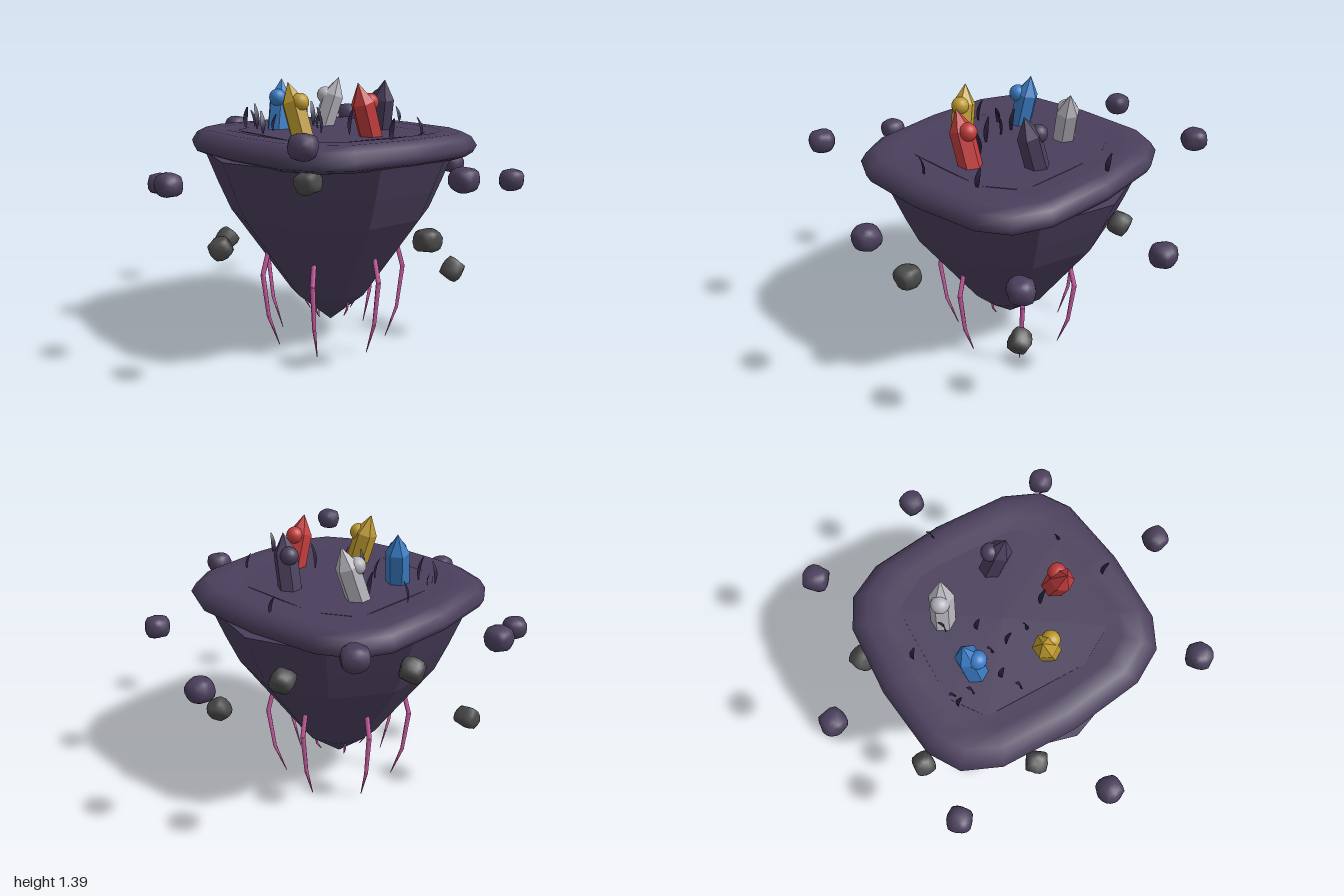
import * as THREE from 'three';
import { mergeVertices, mergeGeometries } from 'three/addons/utils/BufferGeometryUtils.js';

const mat = (name, color, extra = {}) => {
  const m = new THREE.MeshStandardMaterial({ color, ...extra });
  m.name = name;
  return m;
};
const V = (x, y, z) => new THREE.Vector3(x, y, z);

// one normal per face
function flat(geo) {
  const g = geo.index ? geo.toNonIndexed() : geo;
  g.computeVertexNormals();
  return g;
}

// tapered cylinder between two points
function limb(a, b, ra, rb, sides) {
  const dir = b.clone().sub(a);
  const g = new THREE.CylinderGeometry(rb, ra, dir.length(), sides);
  g.applyQuaternion(new THREE.Quaternion().setFromUnitVectors(V(0, 1, 0), dir.normalize()));
  const mid = a.clone().add(b).multiplyScalar(0.5);
  return g.translate(mid.x, mid.y, mid.z);
}

// smooth skin through scaled copies of one outline, bottom to top
function loft(outline, section) {
  const n = outline.length, pos = [], idx = [];
  section.forEach(([s, y]) => outline.forEach(([x, z]) => pos.push(x * s, y, z * s)));
  for (let i = 0; i < section.length - 1; i++)
    for (let j = 0; j < n; j++) {
      const a = i * n + j, b = i * n + (j + 1) % n;
      idx.push(a, a + n, b, b, a + n, b + n);
    }
  const g = new THREE.BufferGeometry();
  g.setAttribute('position', new THREE.Float32BufferAttribute(pos, 3));
  g.setIndex(idx);
  g.computeVertexNormals();
  return g;
}

// lumpy stone: a ball pushed towards a cube, then rippled
function stone(size, blocky, seed) {
  let g = new THREE.IcosahedronGeometry(1, 2);
  g.deleteAttribute('normal');
  g.deleteAttribute('uv');
  g = mergeVertices(g, 1e-4);
  const p = g.attributes.position, v = V(0, 0, 0);
  for (let i = 0; i < p.count; i++) {
    v.fromBufferAttribute(p, i);
    const cube = 1 / Math.max(Math.abs(v.x), Math.abs(v.y), Math.abs(v.z));
    const ripple = 1 + 0.06 * Math.sin(v.x * 4 + seed) * Math.cos(v.y * 3 + v.z * 4 + seed * 2);
    v.multiplyScalar(size * ripple * (1 + blocky * (Math.min(cube, 1.45) - 1)));
    p.setXYZ(i, v.x, v.y * 0.9, v.z);
  }
  g.computeVertexNormals();
  return g;
}

// thin curved leaf bending along x, wide along z
function blade(h, bend) {
  const pos = [], idx = [], steps = 5;
  for (let i = 0; i <= steps; i++) {
    const t = i / steps, w = 0.004 + 0.012 * Math.sin(Math.PI * t) * (1 - t * 0.3);
    const x = bend * (t * t - t * 0.5);
    pos.push(x, t * h, -w, x + 0.004 * (1 - t), t * h, w);
    if (i < steps) { const a = i * 2; idx.push(a, a + 1, a + 2, a + 1, a + 3, a + 2); }
  }
  const g = new THREE.BufferGeometry();
  g.setAttribute('position', new THREE.Float32BufferAttribute(pos, 3));
  g.setIndex(idx);
  g.computeVertexNormals();
  return g;
}

export function createModel() {
  const model = new THREE.Group();
  model.name = 'floatingIsland';
  const purple = mat('dusky purple', 0x4a3f5c);
  const grey = mat('stone grey', 0x4a4a4a);
  const pink = mat('root pink', 0xd060a8);
  const grass = mat('dark blade', 0x2c2440, { side: THREE.DoubleSide });
  const blue = mat('crystal blue', 0x3a7cc4);
  const yellow = mat('crystal yellow', 0xbd992e);
  const red = mat('crystal red', 0xc23c3c);
  const pale = mat('crystal pale', 0xb4b2ba);
  const add = (name, geo, material, parent = model) => {
    const m = new THREE.Mesh(geo, material);
    m.name = name;
    parent.add(m);
    return m;
  };
  const group = (name) => {
    const g = new THREE.Group();
    g.name = name;
    model.add(g);
    return g;
  };

  // ten-sided rocky underside
  const profile = [[0, 0.1], [0.21, 0.275], [0.525, 0.72], [0.59, 0.87], [0.65, 1.025], [0, 1.03]];
  add('rockCone', flat(new THREE.LatheGeometry(profile.map(([r, y]) => new THREE.Vector2(r, y)), 10)), purple);

  // rounded-square rim with a shallow dish
  const quarter = [[0.665, 0], [0.635, 0.36], [0.55, 0.51], [0.375, 0.597]];
  const outline = [
    ...quarter, [0, 0.625], ...quarter.slice(1).reverse().map(([x, z]) => [-x, z]),
    ...quarter.map(([x, z]) => [-x, -z]), [0, -0.625],
    ...quarter.slice(1).reverse().map(([x, z]) => [x, -z]),
  ];
  add('plateauRim', loft(outline, [[0, 1.02], [0.9, 1.015], [0.975, 1.035], [1, 1.07], [0.96, 1.115],
    [0.89, 1.14], [0.76, 1.142], [0.6, 1.122], [0, 1.115]]), purple);

  // eight-cornered floor
  const floor = [[-0.2, -0.41], [0.32, -0.38], [0.43, -0.2], [0.4, 0.3], [0.2, 0.4], [-0.32, 0.37], [-0.43, 0.2], [-0.4, -0.31]];
  add('plateauFloor', flat(loft(floor, [[1, 1.1], [1, 1.13], [0, 1.13]])), purple);

  // leaning six-sided crystals, each with a small orb: base, tip, orb
  const crystals = [
    ['blue', blue, V(-0.25, 1.11, 0.16), V(-0.28, 1.39, 0.11), V(-0.24, 1.295, 0.165)],
    ['yellow', yellow, V(0.1, 1.11, 0.25), V(0.025, 1.39, 0.285), V(0.09, 1.295, 0.26)],
    ['red', red, V(0.3, 1.11, -0.02), V(0.3, 1.39, 0.07), V(0.3, 1.295, -0.005)],
    ['pale', pale, V(-0.25, 1.11, -0.14), V(-0.2, 1.39, -0.215), V(-0.245, 1.295, -0.155)],
    ['purple', purple, V(0.09, 1.11, -0.26), V(0.16, 1.39, -0.23), V(0.09, 1.295, -0.26)],
  ];
  for (const [name, m, base, tip, orb] of crystals) {
    const g = group(name + 'Crystal');
    const neck = base.clone().lerp(tip, 0.66);
    add('crystalShaft', flat(limb(base, neck, 0.06, 0.06, 6)), m, g);
    add('crystalPoint', flat(limb(neck, tip, 0.06, 0.0005, 6)), m, g);
    add('crystalOrb', new THREE.SphereGeometry(0.045, 16, 12), m, g).position.copy(orb);
  }

  // sparse curved blades
  const blades = group('grassBlades');
  [[-0.07, -0.55], [-0.47, -0.05], [-0.27, -0.09], [-0.14, -0.02], [-0.14, 0.12], [-0.06, 0.12],
    [-0.4, 0.21], [-0.41, 0.26], [-0.32, 0.245], [-0.17, 0.245], [-0.12, 0.34], [0.19, 0.03],
    [0.45, -0.21], [0.53, 0.06], [0.06, 0.11]].forEach(([x, z], i) => {
    const b = add('blade', blade(0.09 + 0.02 * (i % 3), i % 2 ? 0.05 : -0.05), grass, blades);
    b.position.set(x, 1.13, z);
    b.rotation.y = 0.3 * Math.sin(i * 2.3);
  });

  // ring of floating purple rocks
  const rocks = group('floatingRocks');
  [[0.93, 1, 0], [0.66, 1.17, 0.66], [0, 0.95, 0.93], [-0.66, 0.83, 0.66],
    [-0.93, 1.08, 0], [-0.66, 1.14, -0.66], [0, 0.87, -0.93], [0.66, 0.89, -0.66]].forEach((p, i) => {
    const r = add('purpleRock', stone(0.063, 0.3, i), purple, rocks);
    r.position.set(...p);
    r.rotation.y = i * 0.8;
  });

  // blocky grey stones near the slopes
  const stones = group('greyStones');
  [[0.72, 0.69, 0], [0.45, 0.975, 0.48], [-0.16, 0.56, 0.58], [-0.66, 0.46, 0.25],
    [-0.66, 0.93, -0.26], [-0.16, 0.83, -0.58], [0.45, 0.4, -0.47]].forEach((p, i) => {
    const s = add('greyStone', stone(0.056, 0.65, i + 3), grey, stones);
    s.position.set(...p);
    s.rotation.set(0.15 * i, 0.5 * i, 0.1 * i);
  });

  // seven long hanging roots and five short ones at the tip
  function root(name, count, path) {
    for (let k = 0; k < count; k++) {
      const a = (k / count) * Math.PI * 2;
      const pts = path.map(([r, y]) => V(r * Math.cos(a), y, r * Math.sin(a)));
      const parts = pts.slice(1).map((p, i) => limb(pts[i], p, path[i][2], path[i + 1][2], 6));
      add(name, mergeGeometries(parts), pink);
    }
  }
  root('hangingRoot', 7, [[0.352, 0.535, 0.013], [0.388, 0.4, 0.013], [0.36, 0.17, 0.01], [0.3, 0, 0.002]]);
  root('shortRoot', 5, [[0.15, 0.24, 0.007], [0.14, 0.19, 0.006], [0.115, 0.15, 0.002]]);
  return model;
}
